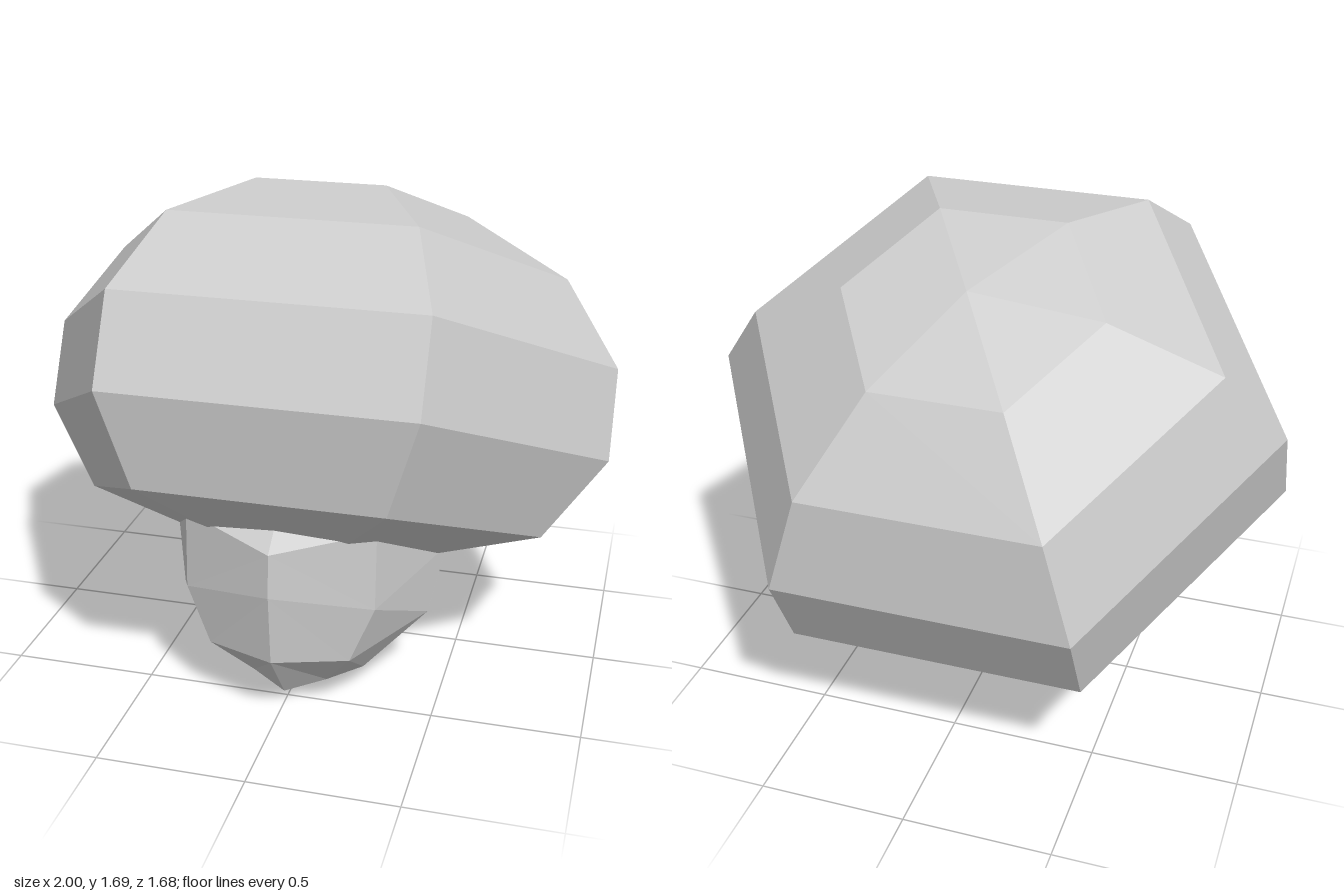
import * as THREE from 'three';

// Splits every face so each one is shaded flat.
function faceted(geometry) {
  const flat = geometry.index ? geometry.toNonIndexed() : geometry;
  flat.computeVertexNormals();
  return flat;
}

// Closed loft through rings given as half loops, front to back on the +x side.
function loftMirrored(halfRings, bottom, top) {
  const rings = halfRings.map((half) => [
    ...half,
    ...half.slice(1, -1).reverse().map(([x, y, z]) => [-x, y, z]),
  ]);
  const n = rings[0].length;
  const out = [];
  const tri = (a, b, c) => out.push(...a, ...b, ...c);
  for (let j = 0; j < n; j++) {
    const k = (j + 1) % n;
    tri(bottom, rings[0][k], rings[0][j]);
    for (let i = 0; i < rings.length - 1; i++) {
      const [lo, hi] = [rings[i], rings[i + 1]];
      // Mirror the diagonals so both sides match
      if (j < n / 2) {
        tri(lo[j], lo[k], hi[j]);
        tri(lo[k], hi[k], hi[j]);
      } else {
        tri(lo[j], lo[k], hi[k]);
        tri(lo[j], hi[k], hi[j]);
      }
    }
    const last = rings[rings.length - 1];
    tri(last[j], last[k], top);
  }
  const geometry = new THREE.BufferGeometry();
  geometry.setAttribute('position', new THREE.Float32BufferAttribute(out, 3));
  return faceted(geometry);
}

export function createModel() {
  const group = new THREE.Group();
  group.name = 'mushroom';
  const grey = new THREE.MeshStandardMaterial({ color: 0xcccccc });
  grey.name = 'light grey';

  // Six-sided cap, tipped backwards
  const profile = [
    [0, -0.12], [0.44, -0.1], [0.803, 0], [1, 0.277],
    [1, 0.588], [0.803, 0.877], [0.44, 1.072], [0, 1.138],
  ].map(([r, y]) => new THREE.Vector2(r, y));
  const cap = new THREE.Mesh(faceted(new THREE.LatheGeometry(profile, 6, Math.PI / 6)), grey);
  cap.name = 'cap';
  cap.position.set(0, 0.565, 0.205);
  cap.rotation.x = -0.48;
  group.add(cap);

  // Bulging stem, its top buried in the cap
  const stem = new THREE.Mesh(loftMirrored([
    [[0, 0.045, 0.545], [0.13, 0.065, 0.47], [0.24, 0.085, 0.39], [0.17, 0.045, 0.2], [0, 0, 0.04]],
    [[0, 0.25, 0.7], [0.24, 0.235, 0.6], [0.44, 0.27, 0.28], [0.28, 0.175, -0.02], [0, 0.11, -0.14]],
    [[0, 0.5, 0.72], [0.32, 0.43, 0.585], [0.485, 0.49, 0.2], [0.32, 0.34, -0.11], [0, 0.28, -0.245]],
    [[0, 0.65, 0.71], [0.32, 0.7, 0.57], [0.4, 0.62, 0.18], [0.3, 0.5, -0.1], [0, 0.45, -0.22]],
  ], [0, 0.025, 0.3], [0, 0.9, 0.4]), grey);
  stem.name = 'stem';
  group.add(stem);

  return group;
}
